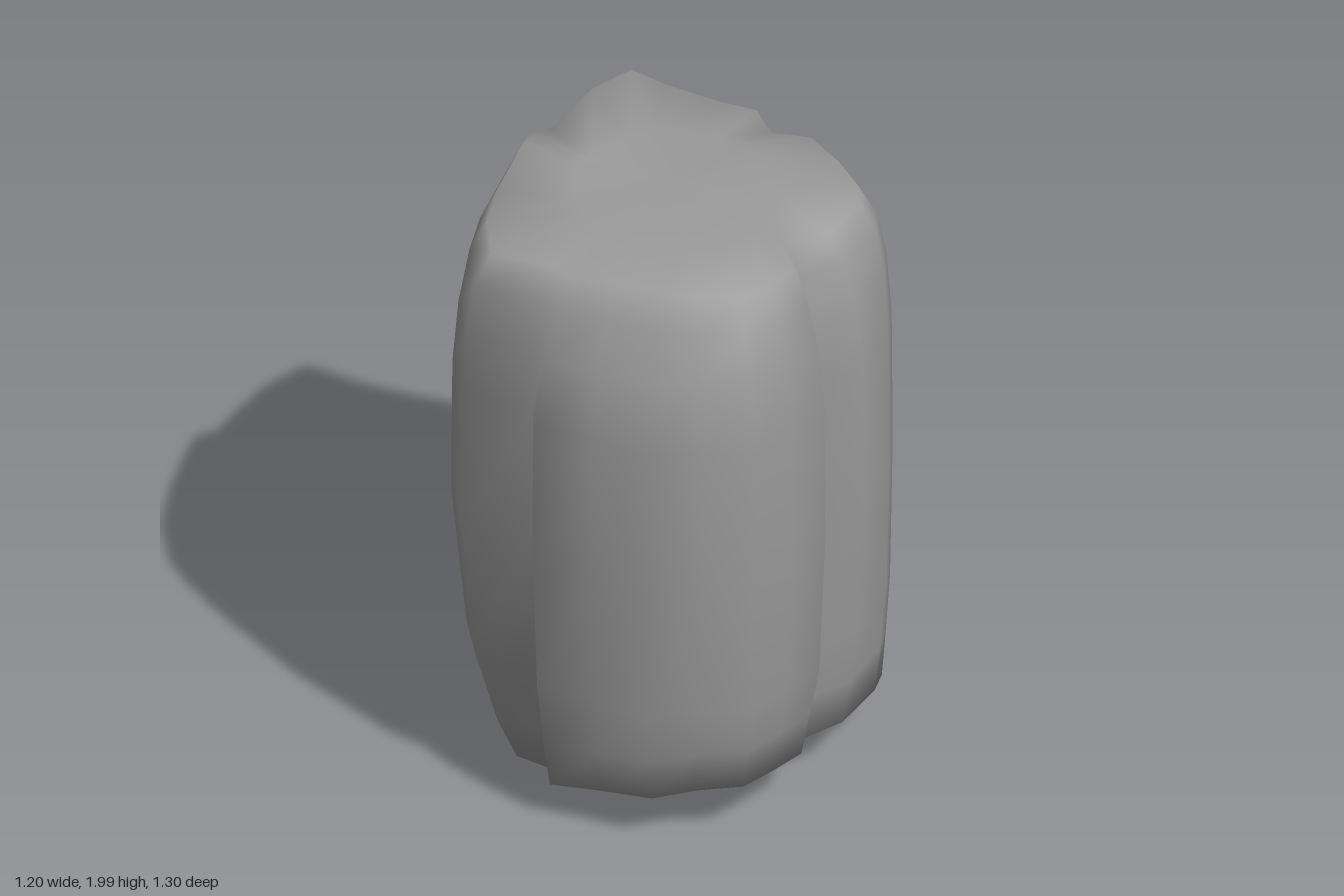
import * as THREE from 'three';

// Columns around the boulder: x, z, shoulder scale, foot scale
const columns = [
  [0.60, 0.03, 0.88, 0.84], [0.60, 0.18, 0.90, 0.84], [0.59, 0.33, 0.86, 0.84],
  [0.47, 0.44, 0.83, 0.84], [0.365, 0.555, 0.77, 0.86], [0.17, 0.59, 0.81, 0.88],
  [0.00, 0.645, 0.83, 0.88], [-0.065, 0.57, 0.94, 0.86], [-0.27, 0.65, 0.94, 0.74],
  [-0.40, 0.54, 0.92, 0.72], [-0.49, 0.41, 0.89, 0.74], [-0.595, 0.18, 0.85, 0.82],
  [-0.60, 0.12, 0.85, 0.84], [-0.56, 0.05, 0.86, 0.90], [-0.585, -0.25, 0.93, 0.94],
  [-0.57, -0.45, 0.95, 0.95], [-0.44, -0.475, 0.95, 0.94], [-0.26, -0.54, 0.95, 0.93],
  [-0.15, -0.63, 0.90, 0.93], [-0.03, -0.58, 0.88, 0.94], [0.10, -0.65, 0.88, 0.92],
  [0.27, -0.57, 0.92, 0.94], [0.42, -0.49, 0.93, 0.95], [0.475, -0.41, 0.94, 0.93],
  [0.55, -0.21, 0.89, 0.88], [0.495, -0.06, 0.83, 0.90],
].map(([x, z, shoulder, foot]) => ({
  x, z, shoulder, foot,
  // The rim peaks on the right side; the foot rises towards the left and front
  rim: 1.90 + 0.185 * Math.max(0, -x) * (1 - Math.abs(z)),
  footY: 0.05 + 0.12 * (x + 0.57) + 0.04 * Math.max(0, z),
}));

// Gently tilted top and underside
const topY = (x) => 1.95 - 0.05 * x;
const undersideY = (x, z) => 0.05 + 0.13 * z + 0.15 * Math.max(0, x);

// Each level gives the scale of a column and the height there, from the foot up
const levels = [
  [(c) => c.foot * 0.6, (c, x, z) => undersideY(x, z)],
  [(c) => c.foot, (c) => c.footY],
  [(c) => 0.35 + 0.65 * c.foot, (c) => c.footY + 0.15],
  [(c) => 0.75 + 0.25 * c.foot, () => 0.52],
  [() => 1, () => 1.00],
  [() => 0.995, () => 1.45],
  [(c) => 0.6 + 0.4 * c.shoulder, () => 1.66],
  [(c) => c.shoulder, (c) => c.rim - 0.10],
  [(c) => c.shoulder * 0.91, (c) => c.rim],
  [(c) => 0.30 / Math.hypot(c.x, c.z), (c, x) => topY(x)],
];

function boulderGeometry() {
  const n = columns.length;
  const positions = [0, undersideY(0, 0), 0];
  const index = [];
  for (const [scale, height] of levels) {
    for (const c of columns) {
      const x = c.x * scale(c);
      const z = c.z * scale(c);
      positions.push(x, height(c, x, z), z);
    }
  }
  positions.push(0, topY(0), 0);
  const last = levels.length * n + 1;
  const at = (level, i) => 1 + level * n + (i % n);

  for (let i = 0; i < n; i++) {
    // Underside and top fans
    index.push(0, at(0, i), at(0, i + 1));
    index.push(last, at(levels.length - 1, i + 1), at(levels.length - 1, i));
    // Sides
    for (let l = 0; l < levels.length - 1; l++) {
      const a = at(l, i), b = at(l, i + 1), c = at(l + 1, i), d = at(l + 1, i + 1);
      index.push(a, c, b, b, c, d);
    }
  }
  const geometry = new THREE.BufferGeometry();
  geometry.setAttribute('position', new THREE.Float32BufferAttribute(positions, 3));
  geometry.setIndex(index);
  geometry.computeVertexNormals();
  return geometry;
}

export function createModel() {
  const group = new THREE.Group();
  group.name = 'rock';
  const boulder = new THREE.Mesh(
    boulderGeometry(),
    new THREE.MeshStandardMaterial({ color: 0x999999 })
  );
  boulder.name = 'boulder';
  group.add(boulder);
  return group;
}
